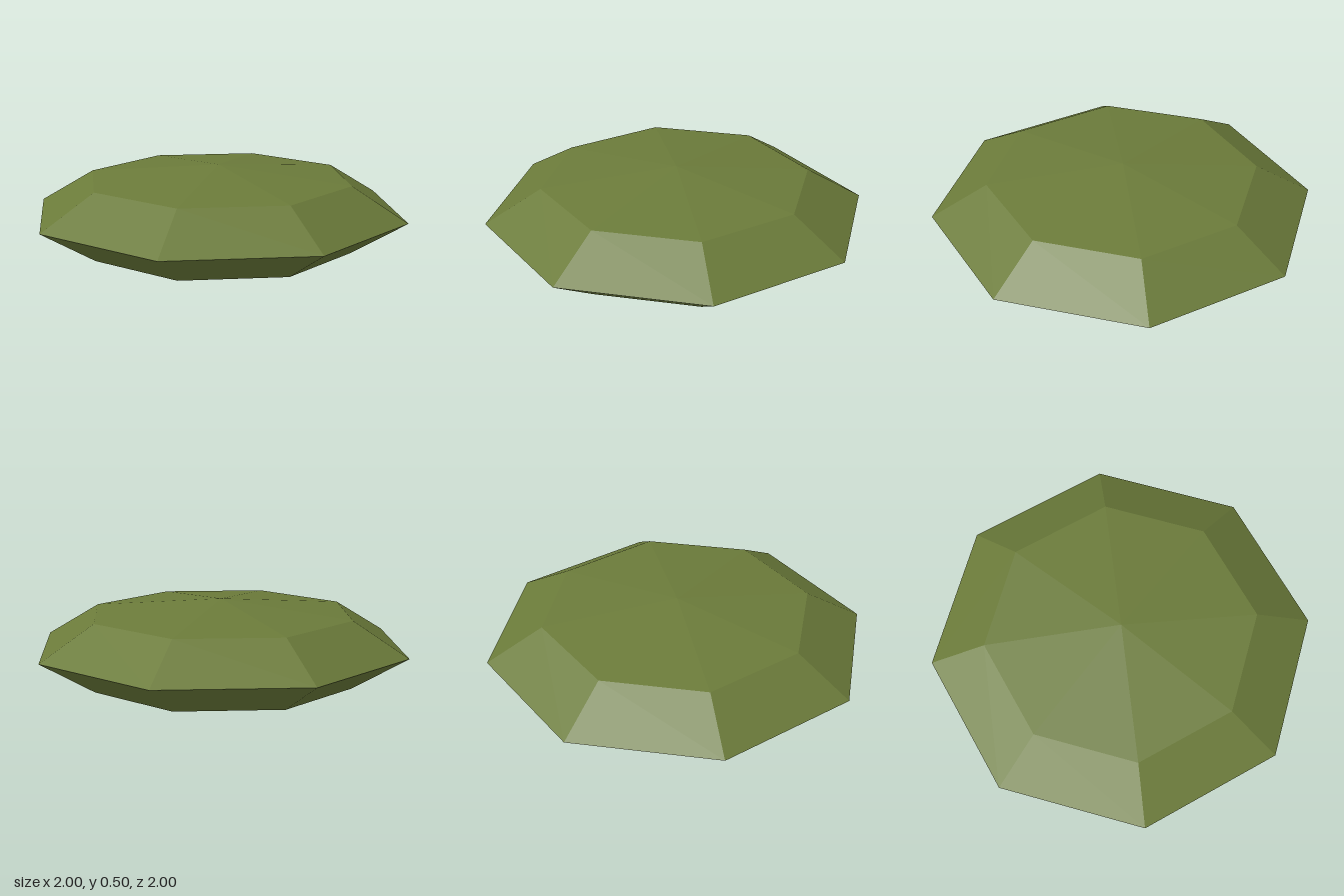
import * as THREE from 'three';

export function createModel() {
  const group = new THREE.Group();
  group.name = 'flatPebble';

  const moss = new THREE.MeshStandardMaterial({ color: 0x6b7b3a, flatShading: true });
  moss.name = 'moss green';

  // Low-poly sphere squashed into a faceted disc, resting on the ground
  const geometry = new THREE.SphereGeometry(1, 8, 4);
  geometry.scale(1, 0.25, 1);
  geometry.translate(0, 0.25, 0);

  const body = new THREE.Mesh(geometry, moss);
  body.name = 'body';
  group.add(body);
  return group;
}
